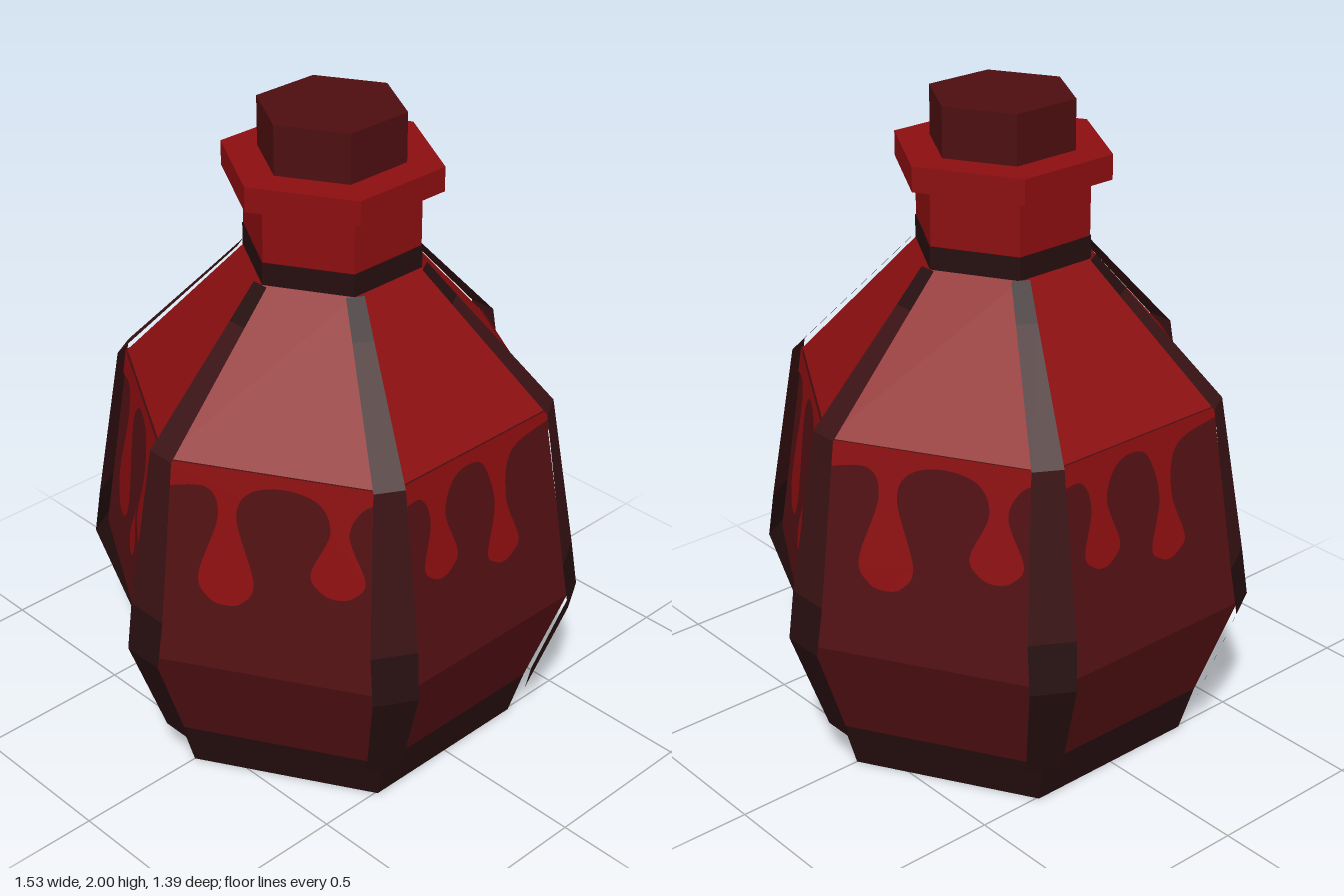
import * as THREE from 'three';

const mat = (name, color) => {
  const m = new THREE.MeshStandardMaterial({ color, flatShading: true, side: THREE.DoubleSide });
  m.name = name;
  return m;
};

export function createModel() {
  const group = new THREE.Group();
  const red = mat('bright red', 0x8c0e10);
  const glass = mat('dark red glass', 0x521013);
  const corkMat = mat('cork', 0x4e0e10);
  const strapMat = mat('strap', 0x3a1214);
  const darkMat = mat('dark trim', 0x260e0f);

  const add = (name, geo, material, parent = group) => {
    const mesh = new THREE.Mesh(geo, material);
    mesh.name = name;
    parent.add(mesh);
    return mesh;
  };

  // Six-sided section with corners on the x axis
  const hex = (name, material, y0, r0, y1, r1, open = true) => {
    const geo = new THREE.CylinderGeometry(r1, r0, y1 - y0, 6, 1, open, Math.PI / 6);
    geo.translate(0, (y0 + y1) / 2, 0);
    return add(name, geo, material);
  };
  hex('base', darkMat, 0, 0.585, 0.15, 0.63, false);
  hex('lowerBody', glass, 0.15, 0.63, 0.48, 0.75);
  hex('upperBody', glass, 0.48, 0.75, 1.12, 0.65);
  hex('shoulder', red, 1.12, 0.65, 1.53, 0.27);
  hex('neckBand', darkMat, 1.53, 0.27, 1.6, 0.27);
  hex('neck', red, 1.6, 0.267, 1.78, 0.267);
  hex('lip', red, 1.775, 0.33, 1.85, 0.33, false);
  hex('cork', corkMat, 1.84, 0.22, 2, 0.22, false);

  // Flat strip running over [y, radius, half width] stations
  const strip = (stations) => {
    const pos = [], idx = [];
    stations.forEach(([y, r, w], i) => {
      pos.push(r, y, w, r, y, -w);
      if (i) {
        const a = 2 * i - 2;
        idx.push(a, a + 1, a + 3, a, a + 3, a + 2);
      }
    });
    const geo = new THREE.BufferGeometry();
    geo.setAttribute('position', new THREE.Float32BufferAttribute(pos, 3));
    geo.setIndex(idx);
    geo.computeVertexNormals();
    return geo;
  };

  // Corner straps, dark at both ends
  const lowEnd = strip([[0.14, 0.645, 0.053], [0.48, 0.765, 0.068], [0.63, 0.742, 0.07]]);
  const middle = strip([[0.63, 0.742, 0.07], [1.13, 0.664, 0.046], [1.44, 0.368, 0.031]]);
  const topEnd = strip([[1.44, 0.368, 0.031], [1.535, 0.278, 0.027]]);
  for (let i = 0; i < 6; i++) {
    const strap = new THREE.Group();
    strap.name = 'cornerStrap';
    add('strapLowerEnd', lowEnd, darkMat, strap);
    add('strapMiddle', middle, strapMat, strap);
    add('strapUpperEnd', topEnd, darkMat, strap);
    strap.rotation.y = i * Math.PI / 3;
    group.add(strap);
  }

  // Places a flat (across, height) outline just off the upper body's front panel
  const onPanel = (shape) => {
    const geo = new THREE.ShapeGeometry(shape, 8);
    const p = geo.attributes.position;
    for (let i = 0; i < p.count; i++) {
      const r = 0.75 - 0.1 * (p.getY(i) - 0.48) / 0.64;
      p.setZ(i, r * Math.cos(Math.PI / 6) + 0.006);
    }
    geo.computeVertexNormals();
    return geo;
  };

  // Drips: [centre, neck height, neck half width, bulb height, bulb half width, bottom]
  const dripSets = [
    [[-0.15, 0.97, 0.03, 0.84, 0.067, 0.78], [0.105, 0.92, 0.024, 0.775, 0.066, 0.72]],
    [[-0.145, 0.97, 0.038, 0.75, 0.088, 0.655], [0.145, 0.94, 0.026, 0.79, 0.07, 0.72]],
    [[-0.135, 0.97, 0.028, 0.78, 0.083, 0.695], [0.195, 0.97, 0.028, 0.84, 0.08, 0.77]],
  ];
  const sheets = dripSets.map((drips) => {
    const pts = [[-0.325, 1.04]];
    drips.forEach(([c, ny, nw, by, bw, bottom], i) => {
      pts.push([c - nw - 0.035, 1.055], [c - nw, ny], [c - bw, by], [c - bw * 0.6, bottom + 0.015],
        [c, bottom], [c + bw * 0.6, bottom + 0.015], [c + bw, by], [c + nw, ny], [c + nw + 0.035, 1.055]);
      if (i === 0) pts.push([(c + drips[1][0]) / 2, 1.082]);
    });
    pts.push([0.325, 1.09]);
    const shape = new THREE.Shape();
    shape.moveTo(-0.325, 1.12);
    shape.lineTo(-0.325, 1.04);
    shape.splineThru(pts.slice(1).map(([x, y]) => new THREE.Vector2(x, y)));
    shape.lineTo(0.325, 1.12);
    return onPanel(shape);
  });

  // Loose teardrop
  const tear = new THREE.Shape();
  tear.moveTo(0.045, 0.79);
  tear.bezierCurveTo(0.04, 0.73, 0.0, 0.71, 0.005, 0.67);
  tear.bezierCurveTo(0.01, 0.605, 0.075, 0.605, 0.082, 0.67);
  tear.bezierCurveTo(0.085, 0.71, 0.05, 0.73, 0.045, 0.79);
  const tearGeo = onPanel(tear);

  for (let i = 0; i < 6; i++) {
    const panel = new THREE.Group();
    panel.name = 'dripPanel';
    add('drips', sheets[i % 3], red, panel);
    if (i % 3 === 1) add('teardrop', tearGeo, red, panel);
    panel.rotation.y = i * Math.PI / 3;
    group.add(panel);
  }
  return group;
}
